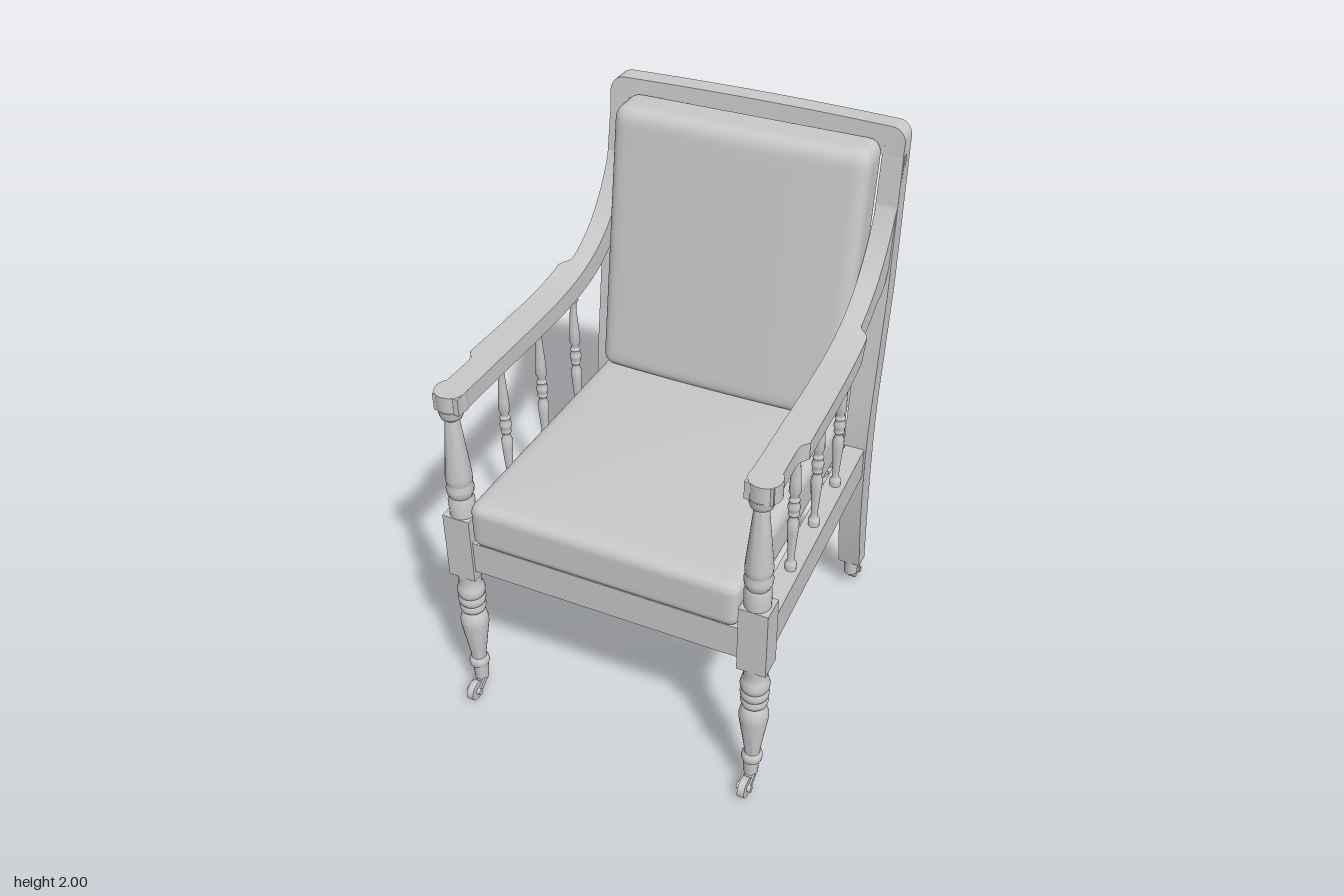
import * as THREE from 'three';
import { toCreasedNormals, mergeVertices } from 'three/addons/utils/BufferGeometryUtils.js';

const grey = new THREE.MeshStandardMaterial({ color: 0xc8c8c8 });
grey.name = 'plain grey';

const V = (x, y, z) => new THREE.Vector3(x, y, z);

function add(parent, name, geometry, x = 0, y = 0, z = 0) {
  const mesh = new THREE.Mesh(geometry, grey);
  mesh.name = name;
  mesh.position.set(x, y, z);
  parent.add(mesh);
  return mesh;
}

// Solid skinned over a row of four-cornered sections, closed at both ends
function loft(rings) {
  const tris = [];
  const quad = (a, b, c, d) => tris.push([a, b, c], [a, c, d]);
  for (let i = 0; i < rings.length - 1; i++)
    for (let k = 0; k < 4; k++) {
      const n = (k + 1) % 4;
      quad(rings[i][k], rings[i][n], rings[i + 1][n], rings[i + 1][k]);
    }
  const first = rings[0], last = rings[rings.length - 1];
  quad(first[3], first[2], first[1], first[0]);
  quad(last[0], last[1], last[2], last[3]);
  const volume = tris.reduce((s, [a, b, c]) => s + a.dot(b.clone().cross(c)), 0);
  if (volume < 0) tris.forEach((t) => t.reverse());
  const g = new THREE.BufferGeometry().setFromPoints(tris.flat());
  return toCreasedNormals(g, 0.6);
}

// Rounded pad; shape(p) may bend each point afterwards
function pad(w, h, d, r, shape) {
  const g = new THREE.BoxGeometry(2, 2, 2, 32, 32, 24);
  g.deleteAttribute('normal');
  g.deleteAttribute('uv');
  const half = V(w / 2, h / 2, d / 2);
  const core = half.clone().subScalar(r);
  const pos = g.attributes.position;
  const p = V(0, 0, 0);
  for (let i = 0; i < pos.count; i++) {
    p.fromBufferAttribute(pos, i);
    for (const a of ['x', 'y', 'z']) p[a] = Math.sin(p[a] * Math.PI / 2) * half[a];
    const c = p.clone().clamp(core.clone().negate(), core);
    p.sub(c).setLength(r).add(c);
    shape(p);
    pos.setXYZ(i, p.x, p.y, p.z);
  }
  const merged = mergeVertices(g, 1e-5);
  merged.computeVertexNormals();
  return merged;
}

const turned = (profile, sides = 24) =>
  toCreasedNormals(new THREE.LatheGeometry(profile.map(([r, y]) => new THREE.Vector2(r, y)), sides), 0.7);

const LOWER_LEG = [[0, 0.135], [0.034, 0.135], [0.038, 0.15], [0.036, 0.165], [0.028, 0.175], [0.03, 0.2],
  [0.052, 0.35], [0.052, 0.37], [0.046, 0.395], [0.036, 0.41], [0.045, 0.42], [0.049, 0.435], [0.043, 0.45],
  [0.049, 0.46], [0.051, 0.475], [0.045, 0.49], [0.05, 0.5], [0.052, 0.515], [0.047, 0.535], [0.041, 0.55],
  [0.044, 0.58], [0.046, 0.61], [0, 0.61]];
const UPPER_POST = [[0, 0.86], [0.045, 0.86], [0.047, 0.93], [0.04, 0.95], [0.047, 0.965], [0.049, 0.985],
  [0.043, 1.005], [0.047, 1.015], [0.047, 1.035], [0.026, 1.255], [0.024, 1.27], [0.037, 1.28], [0.041, 1.293],
  [0.044, 1.315], [0, 1.315]];
const HALF_SPINDLE = [[0, 0.765], [0.02, 0.765], [0.021, 0.795], [0.013, 0.805], [0.012, 0.83], [0.019, 0.93],
  [0.021, 0.975], [0.015, 0.99], [0.014, 1.0], [0.02, 1.01], [0.017, 1.022], [0.022, 1.035]];
const SPINDLE = [...HALF_SPINDLE, ...HALF_SPINDLE.map(([r, y]) => [r, 2.08 - y]).reverse()];

// Caster: dir is the way the wheel trails along z
function caster(parent, name, x, z, dir) {
  const g = new THREE.Group();
  g.name = name;
  g.position.set(x, 0, z);
  parent.add(g);
  add(g, 'casterCuff', new THREE.CylinderGeometry(0.03, 0.026, 0.075, 20), 0, 0.105, 0);
  const wheel = add(g, 'casterWheel', new THREE.CylinderGeometry(0.038, 0.038, 0.026, 24), 0, 0.038, dir * 0.056);
  wheel.rotation.z = Math.PI / 2;
  const axle = add(g, 'casterAxle', new THREE.CylinderGeometry(0.013, 0.013, 0.054, 12), 0, 0.038, dir * 0.056);
  axle.rotation.z = Math.PI / 2;
  for (const s of [-1, 1]) {
    const fork = add(g, 'casterFork', new THREE.BoxGeometry(0.007, 0.022, 0.075), s * 0.019, 0.056, dir * 0.026);
    fork.rotation.x = dir * 0.5;
  }
}

// Z of the raked back's front face at height y
const backZ = (y) => -0.45 - 0.1515 * (y - 0.94);

// Arm sweeping up into the back stile
function armGeometry(s) {
  const curve = (pts) => new THREE.CatmullRomCurve3(pts.map(([z, y]) => V(0, y, z)), false, 'catmullrom', 0.5);
  const top = curve([[0.635, 1.375], [0.4, 1.375], [0, 1.38], [-0.22, 1.41], [-0.37, 1.475], [-0.47, 1.565],
    [-0.54, 1.665], [-0.585, 1.77], [-0.608, 1.9]]);
  const low = curve([[0.635, 1.31], [0.4, 1.31], [0, 1.31], [-0.18, 1.325], [-0.31, 1.355], [-0.42, 1.41],
    [-0.525, 1.48], [-0.61, 1.77], [-0.63, 1.9]]);
  const step = THREE.MathUtils.smoothstep;
  const outer = (z) => 0.558 + step(z, -0.26, -0.22) * (0.036 + 0.02 * (z + 0.22) / 0.6)
    - step(z, 0.385, 0.405) * 0.026;
  const inner = (z) => 0.482 + 0.018 * (z + 0.6) / 1.2;
  const rings = [];
  for (let i = 0; i <= 96; i++) {
    const a = top.getPoint(i / 96), b = low.getPoint(i / 96);
    rings.push([V(s * outer(a.z), a.y, a.z), V(s * inner(a.z), a.y, a.z),
      V(s * inner(b.z), b.y, b.z), V(s * outer(a.z), b.y, b.z)]);
  }
  return loft(rings);
}

// Back leg and stile in one piece: [y, front z, back z]
function stileGeometry(s) {
  const rows = [[0.135, -0.5, -0.565], [0.3, -0.468, -0.55], [0.45, -0.45, -0.538], [0.57, -0.44, -0.53],
    [0.73, -0.435, -0.525], [0.82, -0.438, -0.526], [0.94, -0.45, -0.531], [1.4, -0.52, -0.6], [1.93, -0.6, -0.676]];
  return loft(rows.map(([y, f, b]) => {
    const out = y > 1.4 ? 0.57 - 0.015 * (y - 1.4) / 0.53 : 0.568;
    return [V(s * 0.48, y, f), V(s * out, y, f), V(s * out, y, b), V(s * 0.48, y, b)];
  }));
}

// Bowed top rail with rounded upper corners
function topRailGeometry() {
  const rings = [], W = 0.556, R = 0.05;
  for (let i = 0; i <= 64; i++) {
    const x = -W * Math.cos(Math.PI * i / 64);
    const over = Math.max(0, Math.abs(x) - (W - R));
    const yTop = 2 - R + Math.sqrt(Math.max(0, R * R - over * over));
    const bow = 0.02 * (1 - (x / W) ** 2);
    const at = (y, depth) => V(x, y, -0.605 - 0.13 * (y - 2) - bow - depth);
    rings.push([at(yTop, 0), at(1.9, 0), at(1.9, 0.075), at(yTop, 0.075)]);
  }
  return loft(rings);
}

export function createModel() {
  const chair = new THREE.Group();
  chair.name = 'armchair';

  // Upholstery
  add(chair, 'seatCushion', pad(1, 0.185, 1.105, 0.04, (p) => {
    const u = p.x / 0.5, w = p.z / 0.5525;
    if (p.y > 0) p.y += 0.022 * (1 - u * u) * (1 - w * w);
    p.x *= 0.985 + 0.015 * w;
  }), 0, 0.8575, 0.1025);
  add(chair, 'backCushion', pad(0.96, 1.005, 0.17, 0.05, (p) => {
    if (p.z > 0) p.z += 0.012 * (1 - (p.x / 0.48) ** 2);
    p.z -= 0.16 * p.y;
  }), 0, 1.4525, -0.462);

  // Seat frame
  add(chair, 'frontRail', new THREE.BoxGeometry(1.02, 0.13, 0.075), 0, 0.705, 0.603);
  add(chair, 'backRail', new THREE.BoxGeometry(0.98, 0.13, 0.07), 0, 0.705, -0.482);

  // Back frame
  add(chair, 'topRail', topRailGeometry());
  for (const [y0, y1] of [[0.93, 1.04], [1.46, 1.57]]) {
    const section = (x) => [y0, y1].flatMap((y, i) => {
      const f = V(x, y, backZ(y) - 0.01), b = V(x, y, backZ(y) - 0.065);
      return i ? [b, f] : [f, b];
    });
    add(chair, 'backCrossRail', loft([section(-0.49), section(0.49)]));
  }

  for (const s of [-1, 1]) {
    const side = new THREE.Group();
    side.name = s > 0 ? 'leftSide' : 'rightSide';
    chair.add(side);

    // Front leg and arm post
    add(side, 'frontLeg', turned(LOWER_LEG), s * 0.553, 0, 0.606);
    add(side, 'frontLegBlock', new THREE.BoxGeometry(0.104, 0.27, 0.092), s * 0.553, 0.735, 0.606);
    add(side, 'armPost', turned(UPPER_POST), s * 0.55, 0, 0.606);
    add(side, 'armEnd', new THREE.CylinderGeometry(0.056, 0.056, 0.067, 32), s * 0.553, 1.3425, 0.59);

    add(side, 'backLeg', stileGeometry(s));
    add(side, 'arm', armGeometry(s));

    // Side rail, narrowing towards the back
    const rail = (z, xi, xo) => [V(s * xi, 0.64, z), V(s * xo, 0.64, z), V(s * xo, 0.77, z), V(s * xi, 0.77, z)];
    add(side, 'sideRail', loft([rail(0.57, 0.51, 0.592), rail(-0.45, 0.485, 0.56)]));

    for (const [z, x] of [[0.297, 0.547], [0.048, 0.538], [-0.196, 0.53]])
      add(side, 'armSpindle', turned(SPINDLE, 16), s * x, 0, z);

    // Curved braces across the inner corners of the seat frame
    for (const [z, dir] of [[0.565, -1], [-0.447, 1]]) {
      const rings = [];
      for (let i = 0; i <= 20; i++) {
        const t = i / 20;
        const bulge = 0.025 * Math.cos(4 * Math.PI * (t - 0.5));
        const at = (k, y) => V(s * (0.505 - 0.15 * t - bulge - k), y, z + dir * (0.15 * (1 - t) + bulge + k));
        rings.push([at(0, 0.68), at(0.03, 0.68), at(0.03, 0.71), at(0, 0.71)]);
      }
      add(side, 'cornerBrace', loft(rings));
    }

    caster(side, 'frontCaster', s * 0.55, 0.605, 1);
    caster(side, 'backCaster', s * 0.524, -0.533, -1);
  }
  return chair;
}
